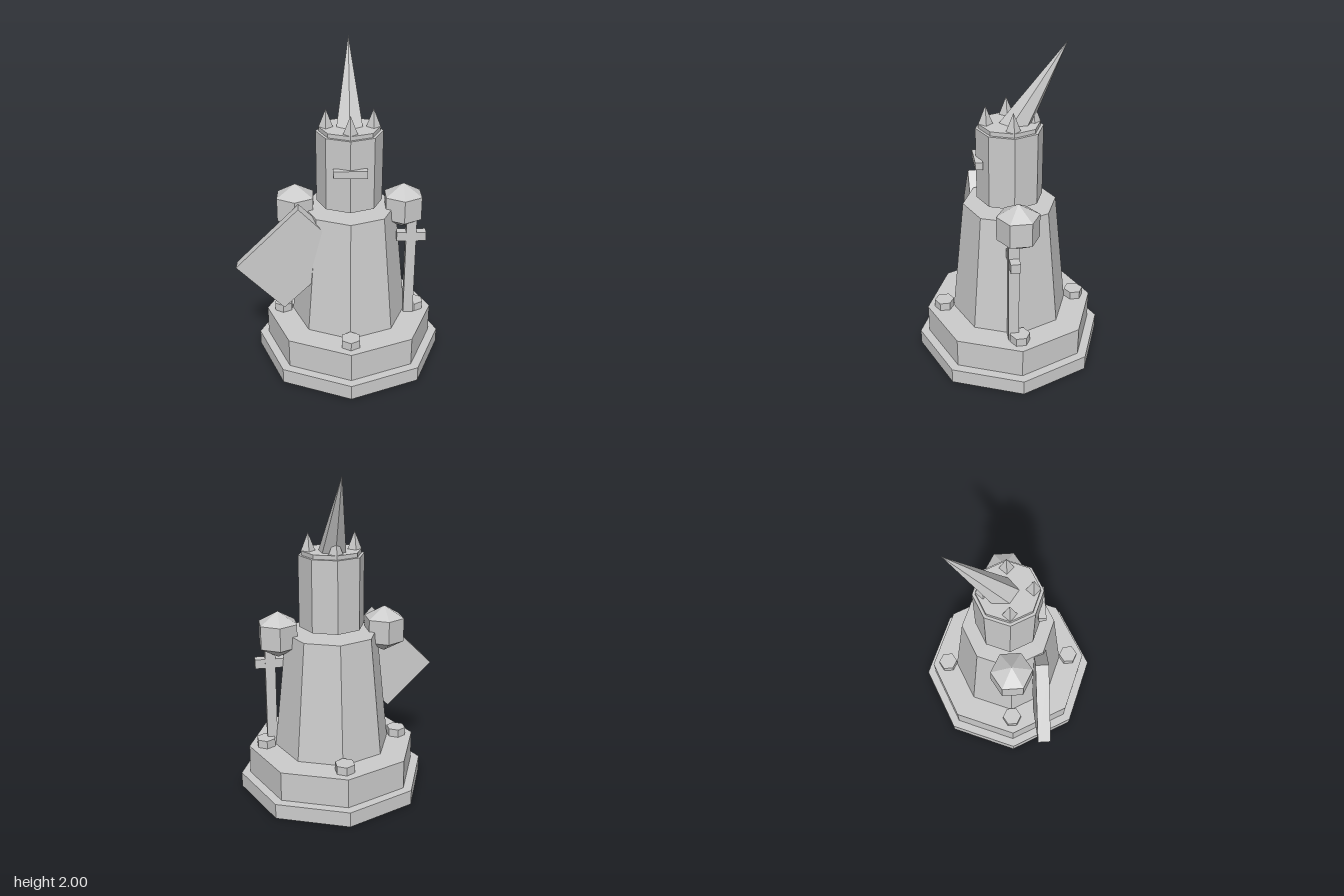
import * as THREE from 'three';

const CX = 0.05; // the figure stands slightly off the overall centre

export function createModel() {
  const model = new THREE.Group();
  const mat = new THREE.MeshStandardMaterial({ color: 0xcccccc, flatShading: true });

  const add = (name, geometry, x, y, z) => {
    const mesh = new THREE.Mesh(geometry, mat);
    mesh.name = name;
    mesh.position.set(x, y, z);
    model.add(mesh);
    return mesh;
  };
  // Upright prism or frustum between two heights
  const prism = (name, rTop, rBottom, y0, y1, sides = 8, x = CX, z = 0) =>
    add(name, new THREE.CylinderGeometry(rTop, rBottom, y1 - y0, sides), x, (y0 + y1) / 2, z);
  const box = (name, w, h, d, x, y, z) => add(name, new THREE.BoxGeometry(w, h, d), x, y, z);

  // Stepped plinth, robe, head and crown band
  prism('plinthLower', 0.592, 0.592, 0, 0.095);
  prism('plinthUpper', 0.535, 0.535, 0.095, 0.28);
  prism('body', 0.287, 0.366, 0.28, 1.02);
  prism('head', 0.202, 0.202, 1.06, 1.505);
  prism('crownBand', 0.184, 0.184, 1.505, 1.53);

  // Four plinth studs and four crown spikes, one on each side
  for (let i = 0; i < 4; i++) {
    const a = (i * Math.PI) / 2;
    const sx = Math.sin(a), sz = Math.cos(a);
    prism('plinthStud', 0.062, 0.062, 0.28, 0.332, 6, CX + sx * 0.427, sz * 0.427);
    prism('crownSpike', 0, 0.043, 1.53, 1.64, 4, CX + sx * 0.141, sz * 0.141);
  }

  // Plume leaning backwards, its foot sunk into the crown
  const tilt = 0.541, length = 0.64;
  const plume = add('plume', new THREE.ConeGeometry(0.1, length, 6), CX,
    2 - (length / 2) * Math.cos(tilt), -0.33 + (length / 2) * Math.sin(tilt));
  plume.rotation.x = -tilt;

  // Visor slit
  box('visor', 0.2, 0.045, 0.045, CX, 1.307, 0.193);

  // Faceted shoulder guards
  for (const side of [-1, 1]) {
    const shoulder = add('shoulder', new THREE.SphereGeometry(0.147, 6, 3), CX + side * 0.333, 1.02, 0);
    shoulder.rotation.y = Math.PI / 2;
  }

  // Slanted shield on the right arm
  box('shield', 0.404, 0.546, 0.08, -0.308, 0.76, 0.185).rotation.z = -Math.PI / 4;

  // Sword standing at the left side
  box('swordBlade', 0.063, 0.68, 0.063, 0.435, 0.62, 0.036);
  box('swordGuard', 0.183, 0.058, 0.058, 0.437, 0.829, 0.036);

  return model;
}
